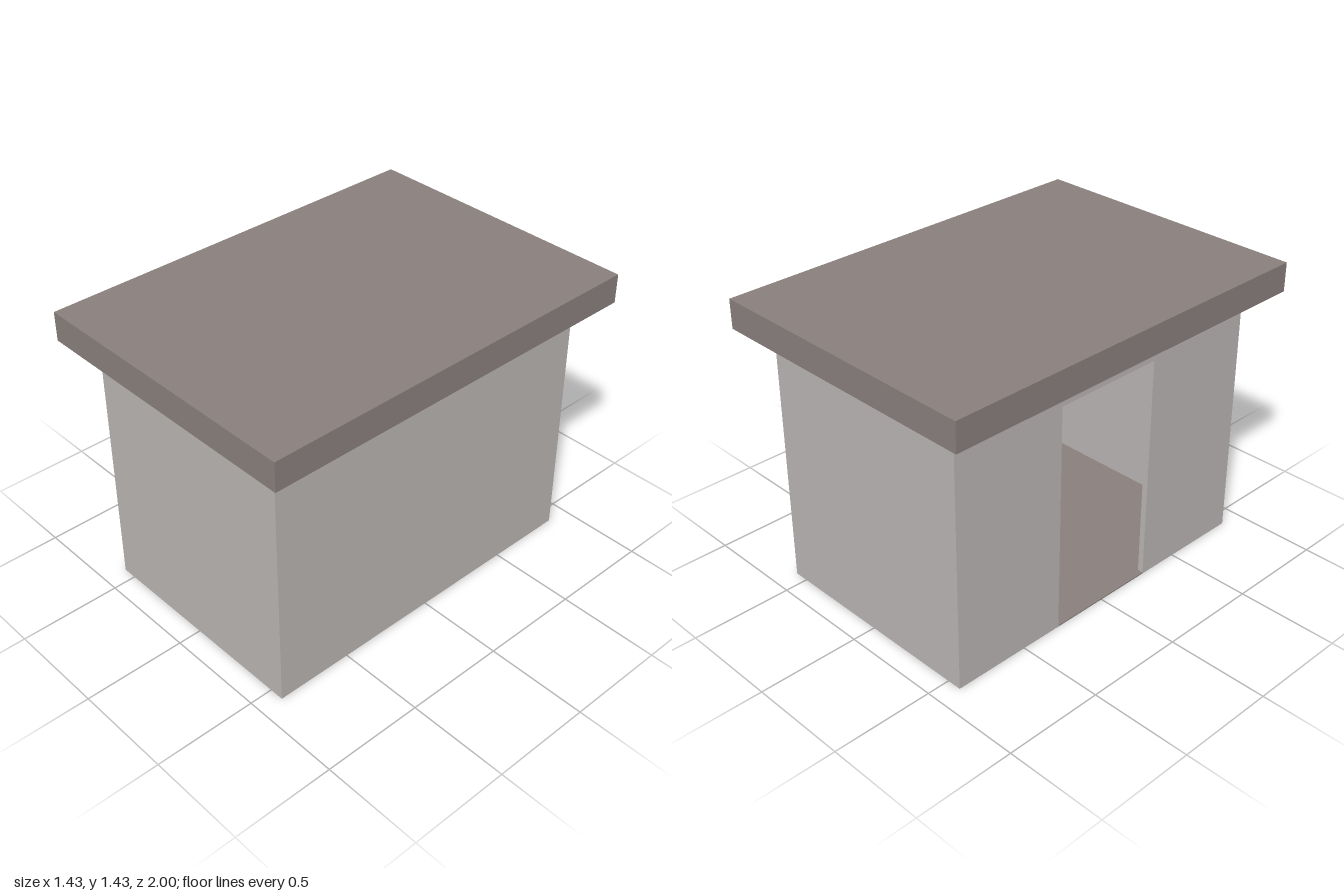
import * as THREE from 'three';

export function createModel() {
  const group = new THREE.Group();
  const wallMat = new THREE.MeshStandardMaterial({ color: 0xbab6b4 });
  wallMat.name = 'pale grey wall';
  const slabMat = new THREE.MeshStandardMaterial({ color: 0x8a807d });
  slabMat.name = 'brown grey slab';

  const W = 1.143, D = 1.771, H = 1.286; // outer size of the walls
  const T = 0.0286;                      // wall thickness
  const doorW = 0.571, doorH = 1.143;
  const floorH = 0.006;

  // Box placed by its centre in x and z and its bottom in y
  const box = (name, mat, w, h, d, x, y, z) => {
    const mesh = new THREE.Mesh(new THREE.BoxGeometry(w, h, d), mat);
    mesh.name = name;
    mesh.position.set(x, y + h / 2, z);
    group.add(mesh);
  };

  // Overhanging flat roof
  box('roof', slabMat, 1.429, 0.143, 2, 0, H, 0);

  // Plain walls
  box('frontWall', wallMat, W, H, T, 0, 0, (D - T) / 2);
  box('backWall', wallMat, W, H, T, 0, 0, -(D - T) / 2);
  box('leftWall', wallMat, T, H, D - 2 * T, (W - T) / 2, 0, 0);

  // Right wall, notched for the open doorway
  const L = D / 2 - T, d = doorW / 2;
  const outline = new THREE.Shape([
    [-L, 0], [-d, 0], [-d, doorH], [d, doorH], [d, 0], [L, 0], [L, H], [-L, H],
  ].map(([a, b]) => new THREE.Vector2(a, b)));
  const doorWall = new THREE.Mesh(
    new THREE.ExtrudeGeometry(outline, { depth: T, bevelEnabled: false }), wallMat);
  doorWall.name = 'rightWallWithDoorway';
  doorWall.rotation.y = Math.PI / 2;
  doorWall.position.x = -W / 2;
  group.add(doorWall);

  // Floor between the walls, carried through the doorway
  box('floor', slabMat, W - 2 * T, floorH, D - 2 * T, 0, 0, 0);
  box('threshold', slabMat, T, floorH, doorW, -(W - T) / 2, 0, 0);

  return group;
}
